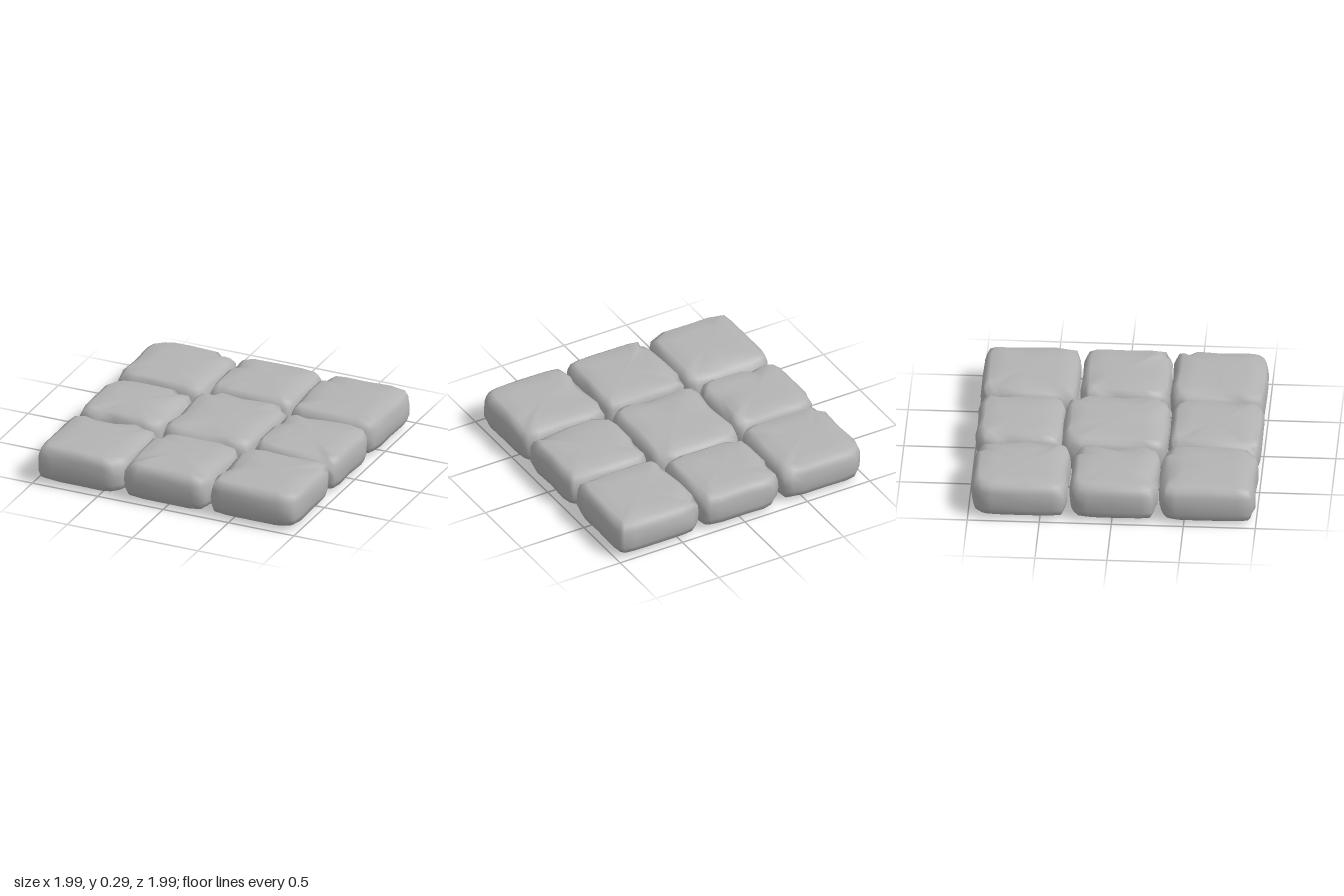
import * as THREE from 'three';

// Seeded random numbers in -1..1 for the hand-cut irregularity
function makeRandom(seed) {
  let s = seed;
  return () => {
    s = (s * 16807) % 2147483647;
    return (s / 2147483647) * 2 - 1;
  };
}

// Stone profile from underside to top: [inset from the side, height]
const PROFILE = [
  [0.16, 0.012], [0.06, 0.014], [0.02, 0.04], [0.004, 0.085],
  [0, 0.15], [0.004, 0.21], [0.02, 0.255], [0.055, 0.279], [0.16, 0.283],
];

// Plan outline, counter-clockwise from above: side midpoint, then a worn corner
function outline(hw, hd, rnd) {
  const points = [];
  for (let q = 0; q < 4; q++) {
    const [a, b] = q % 2 ? [hd, hw] : [hw, hd];
    const c1 = 0.085 + 0.025 * rnd(), c2 = 0.085 + 0.025 * rnd();
    const local = [
      [a - 0.006 + 0.006 * rnd(), 0.06 * rnd()],
      [a - 0.004, b - c1 - 0.05],
      [a - 0.02, b - c1 + 0.03],
      [a - c2 + 0.03, b - 0.02],
      [a - c2 - 0.05, b - 0.004],
    ];
    const cos = [1, 0, -1, 0][q], sin = [0, 1, 0, -1][q];
    for (const [u, v] of local) points.push([u * cos - v * sin, -(u * sin + v * cos)]);
  }
  return points;
}

// Closed stone lofted through the profile, with chipped rims
function stoneGeometry(x0, x1, z0, z1, seed) {
  const rnd = makeRandom(seed);
  const hw = (x1 - x0) / 2, hd = (z1 - z0) / 2;
  const cx = (x0 + x1) / 2, cz = (z0 + z1) / 2;
  const plan = outline(hw, hd, rnd);
  const n = plan.length, last = PROFILE.length - 1;
  const chips = plan.map(() => Math.max(0, rnd() - 0.45));
  const pos = [], index = [];

  PROFILE.forEach(([inset, y], r) => {
    plan.forEach(([px, pz], i) => {
      const rim = r === last - 1 || r === last - 2;
      const chip = rim ? chips[i] * 0.05 : 0;
      const d = inset + chip + (r > 0 && r < last ? 0.004 * (1 + rnd()) : 0);
      pos.push(
        cx + px * (1 - d / hw),
        y - chip * 0.7 + (r >= last - 1 ? 0.004 * rnd() : 0),
        cz + pz * (1 - d / hd)
      );
    });
  });
  for (let r = 0; r < last; r++) {
    for (let i = 0; i < n; i++) {
      const a = r * n + i, b = r * n + (i + 1) % n;
      index.push(a, b, a + n, b, b + n, a + n);
    }
  }

  // Underside and top caps
  const bottom = pos.length / 3, top = bottom + 1;
  pos.push(cx, 0, cz, cx, 0.286, cz);
  for (let i = 0; i < n; i++) {
    const j = (i + 1) % n;
    index.push(j, i, bottom, last * n + i, last * n + j, top);
  }

  const geometry = new THREE.BufferGeometry();
  geometry.setAttribute('position', new THREE.Float32BufferAttribute(pos, 3));
  geometry.setIndex(index);
  geometry.computeVertexNormals();
  return geometry;
}

export function createModel() {
  const model = new THREE.Group();
  model.name = 'stonePaving';
  const stone = new THREE.MeshStandardMaterial({ color: 0xb4b4b4 });
  stone.name = 'greyStone';

  // Name and plan extents of each stone: x from, x to, z from, z to
  const stones = [
    ['backRightStone', -1, -0.325, -0.99, -0.305],
    ['backMiddleStone', -0.33, 0.325, -1, -0.375],
    ['backLeftStone', 0.31, 1, -1, -0.31],
    ['middleRightStone', -1, -0.34, -0.31, 0.32],
    ['centreStone', -0.355, 0.34, -0.4, 0.35],
    ['middleLeftStone', 0.33, 1, -0.31, 0.325],
    ['frontRightStone', -1, -0.32, 0.31, 1],
    ['frontMiddleStone', -0.345, 0.325, 0.34, 1],
    ['frontLeftStone', 0.31, 1, 0.315, 0.99],
  ];
  stones.forEach(([name, x0, x1, z0, z1], i) => {
    const mesh = new THREE.Mesh(stoneGeometry(x0, x1, z0, z1, 7919 * (i + 3)), stone);
    mesh.name = name;
    model.add(mesh);
  });
  return model;
}
